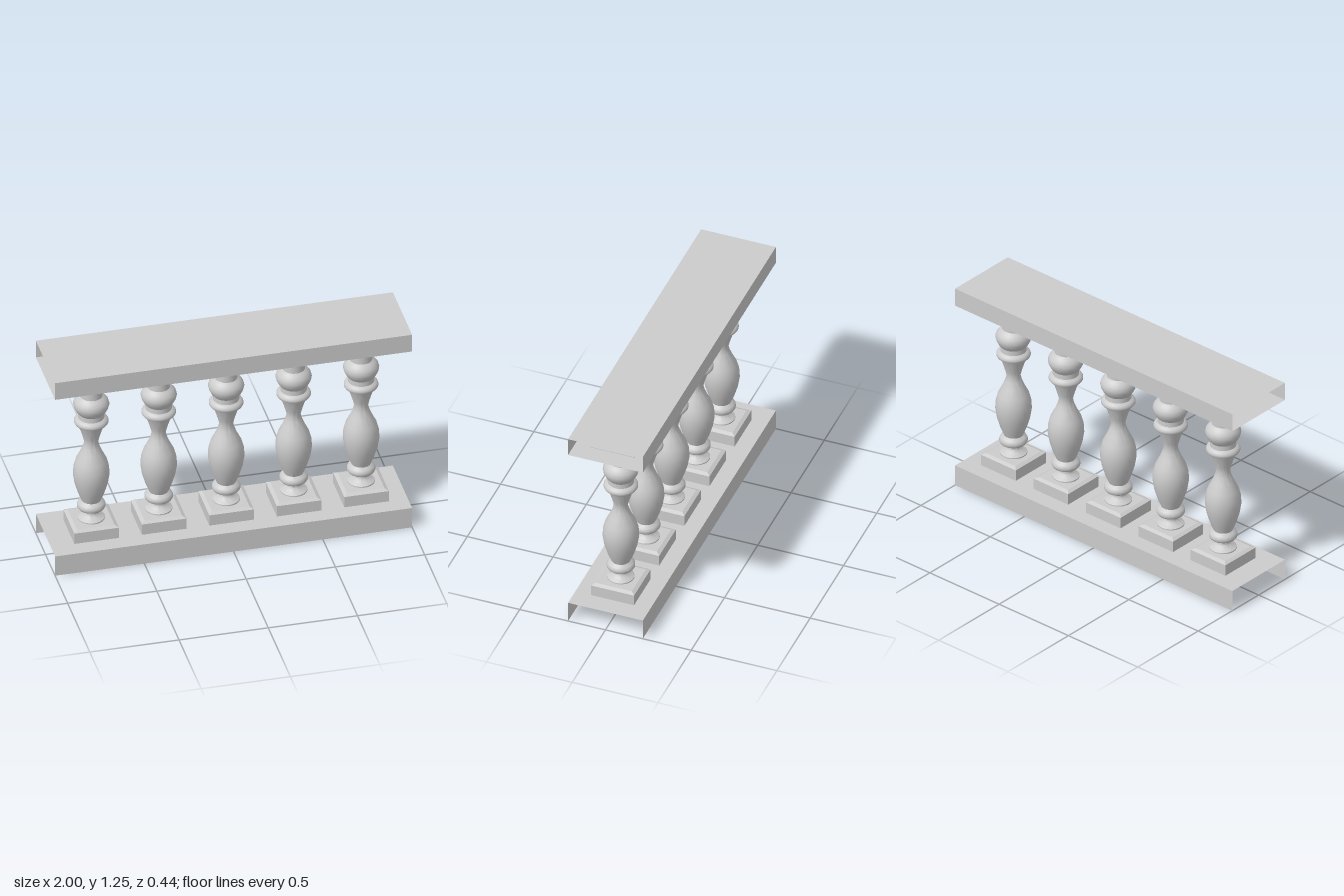
import * as THREE from 'three';
import { toCreasedNormals } from 'three/addons/utils/BufferGeometryUtils.js';

const material = new THREE.MeshStandardMaterial({ color: 0xcccccc });
const sheet = new THREE.MeshStandardMaterial({ color: 0xcccccc, side: THREE.DoubleSide });
const LENGTH = 2, HALF_DEPTH = 0.218;

function lathe(points, segments, crease) {
  const profile = points.map(([r, y]) => new THREE.Vector2(r, y));
  return toCreasedNormals(new THREE.LatheGeometry(profile, segments), crease);
}

// Square slab from [half width, y] pairs
function slab(points) {
  return lathe(points.map(([h, y]) => [h * Math.SQRT2, y]), 4, 0.1).rotateY(Math.PI / 4);
}

// Hollow rail with open ends
function rail(name, y0, y1, hasBottom) {
  const group = new THREE.Group();
  group.name = name;
  const add = (part, height, y, z, rx) => {
    const mesh = new THREE.Mesh(new THREE.PlaneGeometry(LENGTH, height), sheet);
    mesh.name = part;
    mesh.position.set(0, y, z);
    mesh.rotation.x = rx;
    group.add(mesh);
  };
  const mid = (y0 + y1) / 2;
  add('frontFace', y1 - y0, mid, HALF_DEPTH, 0);
  add('backFace', y1 - y0, mid, -HALF_DEPTH, Math.PI);
  add('topFace', HALF_DEPTH * 2, y1, 0, -Math.PI / 2);
  if (hasBottom) add('bottomFace', HALF_DEPTH * 2, y0, 0, Math.PI / 2);
  return group;
}

export function createModel() {
  const model = new THREE.Group();
  model.name = 'balustrade';
  model.add(rail('bottomRail', 0, 0.125, false), rail('topRail', 1.142, 1.25, true));

  // Turned shaft, from the foot ring up to the neck
  const shaft = lathe([
    [0.075, 0.2], [0.075, 0.21], [0.066, 0.216], [0.046, 0.226], [0.037, 0.238], [0.036, 0.256],
    [0.058, 0.262], [0.072, 0.271], [0.078, 0.281], [0.078, 0.294], [0.071, 0.308], [0.056, 0.317],
    [0.053, 0.32], [0.073, 0.37], [0.091, 0.43], [0.1, 0.487], [0.097, 0.535], [0.085, 0.58],
    [0.06, 0.63], [0.046, 0.665], [0.038, 0.695], [0.046, 0.73], [0.06, 0.775], [0.071, 0.805],
    [0.075, 0.815], [0.089, 0.819], [0.094, 0.827], [0.094, 0.837], [0.087, 0.849], [0.072, 0.857],
    [0.071, 0.885], [0.083, 0.9], [0.094, 0.922], [0.099, 0.943], [0.093, 0.965], [0.079, 0.982],
    [0.062, 0.995], [0.061, 1.076],
  ], 36, 0.6);
  const base = slab([[0, 0.127], [0.125, 0.127], [0.125, 0.193], [0.105, 0.203], [0, 0.203]]);
  const cap = slab([[0, 1.073], [0.108, 1.073], [0.125, 1.084], [0.125, 1.145], [0, 1.145]]);

  for (let i = 0; i < 5; i++) {
    const baluster = new THREE.Group();
    baluster.name = `baluster${i + 1}`;
    for (const [name, geometry] of Object.entries({ base, shaft, cap })) {
      const mesh = new THREE.Mesh(geometry, material);
      mesh.name = name;
      baluster.add(mesh);
    }
    baluster.position.x = 0.012 + (i - 2) * 0.378;
    model.add(baluster);
  }
  return model;
}
